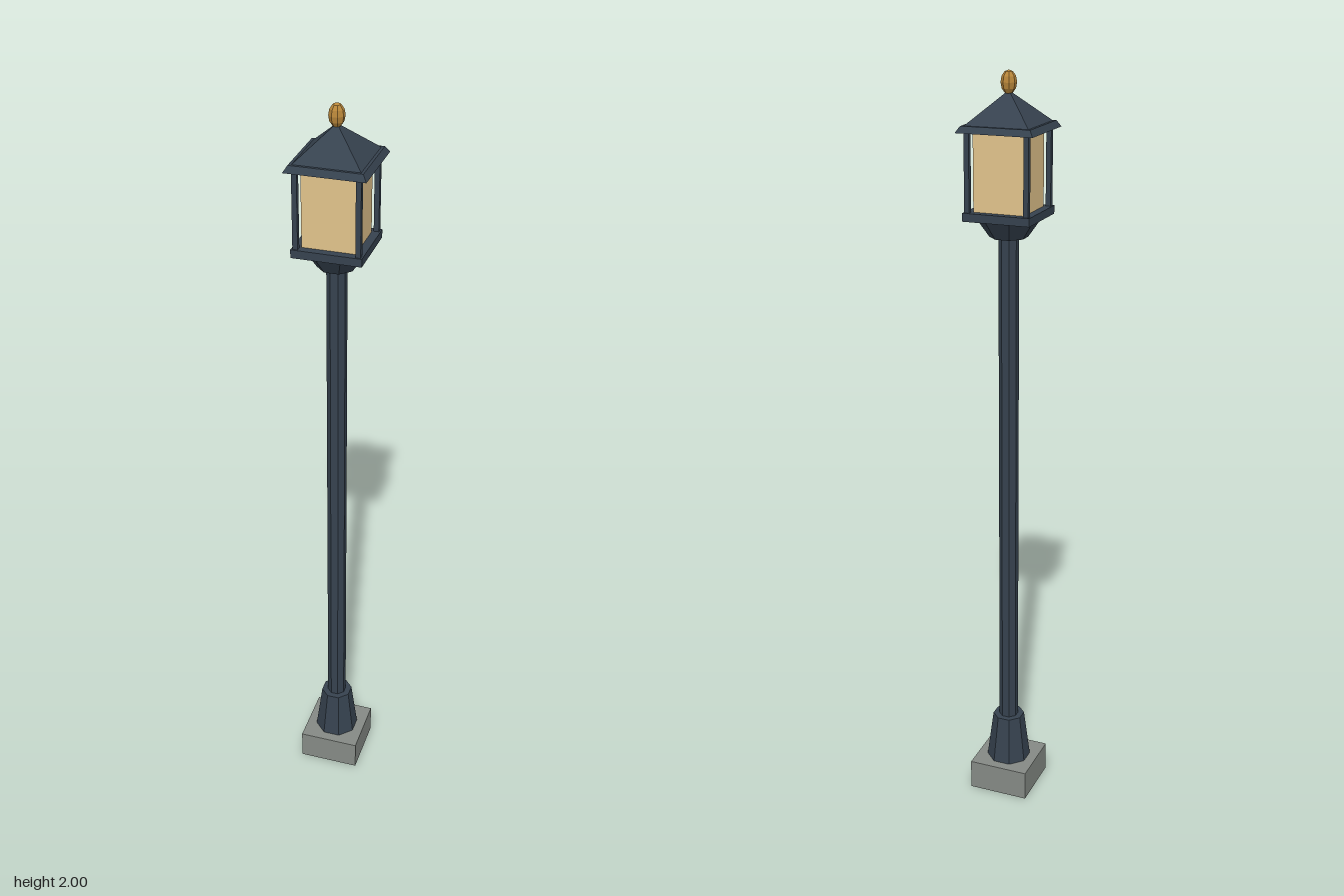
import * as THREE from 'three';

const paint = (color) => new THREE.MeshStandardMaterial({ color, flatShading: true });

export function createModel() {
  const model = new THREE.Group();
  const iron = paint(0x36424f);
  const stone = paint(0x858a85);
  const glass = paint(0xe2c48c);
  const brass = paint(0xb8863a);

  const add = (name, geometry, material, x, y, z, parent = model) => {
    const mesh = new THREE.Mesh(geometry, material);
    mesh.name = name;
    mesh.position.set(x, y, z);
    parent.add(mesh);
    return mesh;
  };

  // Square block standing between two heights
  const block = (name, half, y0, y1, material, x = 0, z = 0, parent = model) =>
    add(name, new THREE.BoxGeometry(half * 2, y1 - y0, half * 2), material, x, (y0 + y1) / 2, z, parent);

  // Tapered prism, sized by the distance from its axis to its flat sides
  const prism = (name, sides, bottom, top, y0, y1, material, parent = model) => {
    const k = 1 / Math.cos(Math.PI / sides);
    const geometry = new THREE.CylinderGeometry(top * k, bottom * k, y1 - y0, sides);
    geometry.rotateY(Math.PI / sides);
    return add(name, geometry, material, 0, (y0 + y1) / 2, 0, parent);
  };

  // Footing and post
  block('footing', 0.083, 0, 0.083, stone);
  prism('pedestal', 8, 0.056, 0.04, 0.083, 0.218, iron);
  prism('pole', 8, 0.024, 0.024, 0.21, 1.6, iron);

  // Lantern
  const lantern = new THREE.Group();
  lantern.name = 'lantern';
  model.add(lantern);
  prism('collar', 8, 0.045, 0.078, 1.595, 1.645, iron, lantern);
  block('floorPlate', 0.088, 1.643, 1.664, iron, 0, 0, lantern);
  block('glassPanes', 0.067, 1.664, 1.858, glass, 0, 0, lantern);
  for (const x of [-1, 1]) {
    for (const z of [-1, 1]) {
      block('cornerPost', 0.0065, 1.66, 1.86, iron, x * 0.0775, z * 0.0775, lantern);
    }
  }

  // Roof: flared eave with a set-back pyramid
  prism('eave', 4, 0.1, 0.09, 1.858, 1.874, iron, lantern);
  prism('roof', 4, 0.083, 0, 1.874, 1.952, iron, lantern);

  // Finial
  const finial = new THREE.SphereGeometry(0.02, 8, 6);
  finial.rotateY(Math.PI / 8);
  finial.scale(1, 1.45, 1);
  add('finial', finial, brass, 0, 1.971, 0, lantern);

  return model;
}
